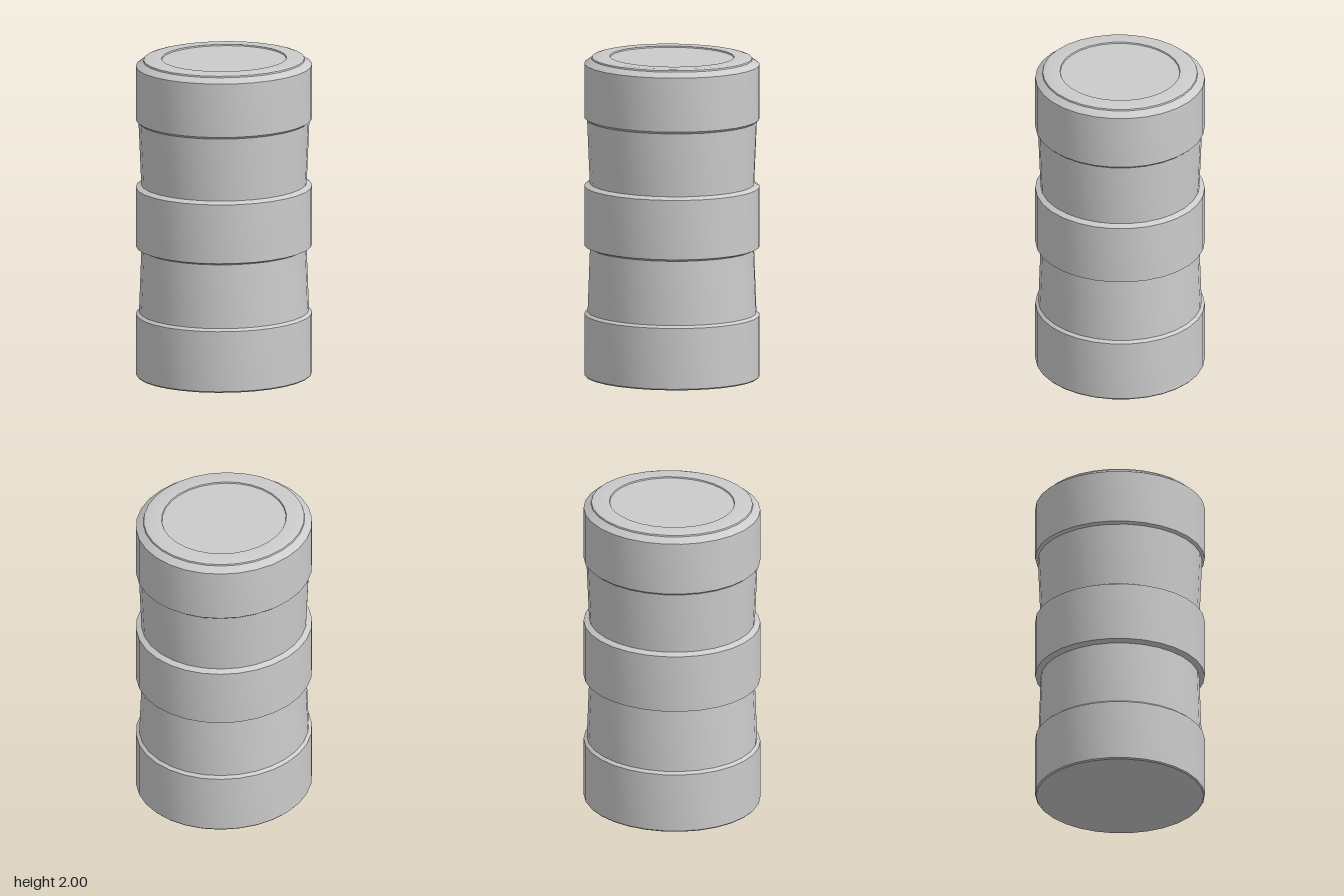
import * as THREE from 'three';
import { toCreasedNormals } from 'three/addons/utils/BufferGeometryUtils.js';

const SIDES = 30;
const DEPTH = 0.95; // the drum is slightly oval

export function createModel() {
  const group = new THREE.Group();
  const material = new THREE.MeshStandardMaterial({ color: 0xcccccc });

  // Turned part from a bottom-to-top profile of [radius, height]
  function turned(name, profile) {
    const points = profile.map(([r, y]) => new THREE.Vector2(r, y));
    const geometry = new THREE.LatheGeometry(points, SIDES);
    geometry.rotateY(Math.PI / 2).scale(1, 1, DEPTH);
    const mesh = new THREE.Mesh(toCreasedNormals(geometry, 0.42), material);
    mesh.name = name;
    group.add(mesh);
  }

  // Base ring with closed underside
  turned('bottomRing', [[0, 0], [0.543, 0], [0.55, 0.008], [0.55, 0.388], [0.53, 0.403]]);

  // Slightly waisted walls between the rings
  turned('lowerWall', [[0.53, 0.403], [0.515, 0.803]]);
  turned('upperWall', [[0.516, 1.207], [0.533, 1.603]]);

  // Raised rings with bevelled edges
  turned('middleRing', [[0.515, 0.803], [0.55, 0.818], [0.55, 1.19], [0.516, 1.207]]);
  turned('topRing', [[0.533, 1.603], [0.55, 1.617], [0.55, 1.955], [0.505, 1.985]]);

  // Lid with a bevelled lip and a shallow sunken disc
  turned('lid', [[0.505, 1.985], [0.502, 1.994], [0.48, 2], [0.39, 2], [0.387, 1.992], [0, 1.992]]);

  return group;
}
